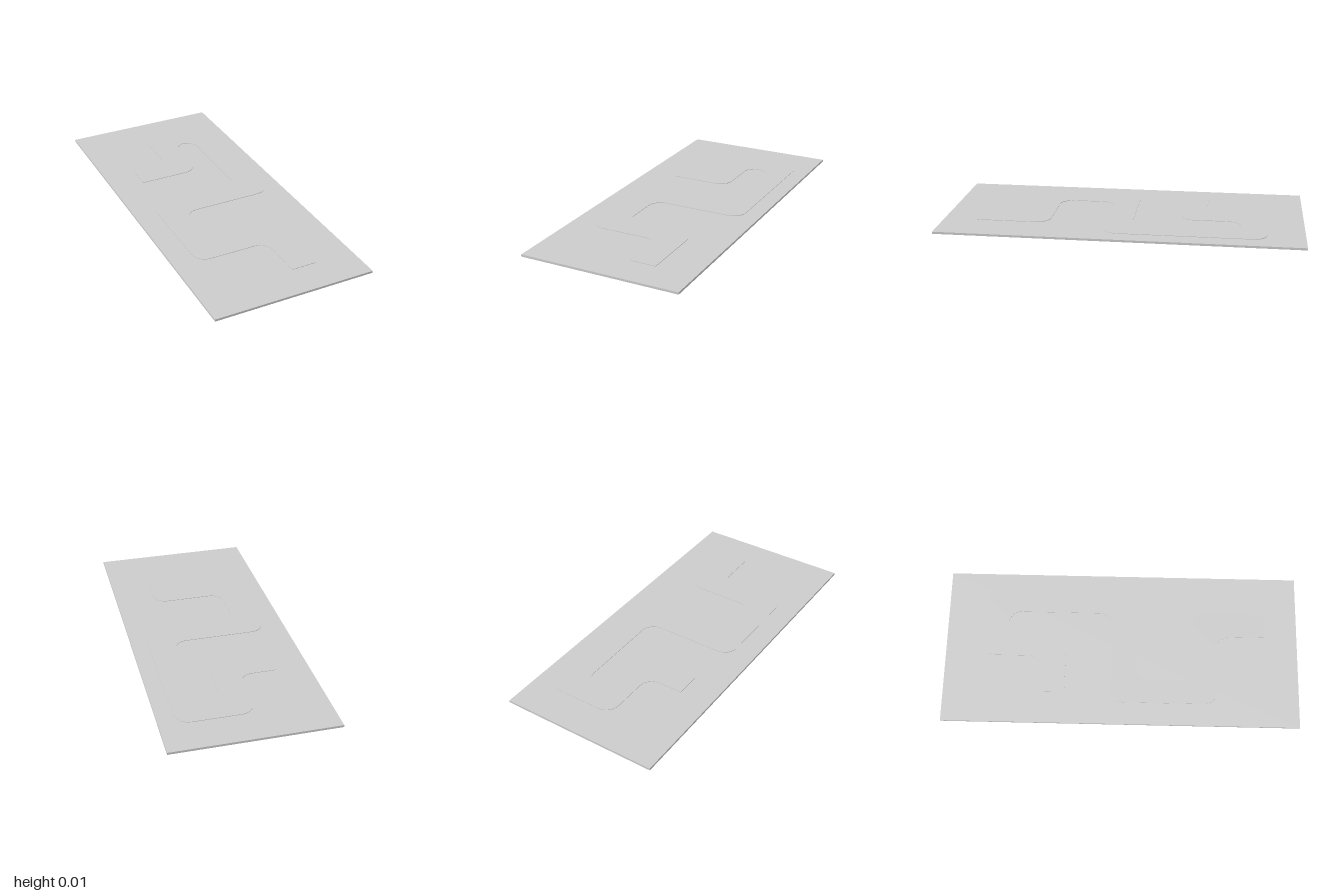
import * as THREE from 'three';

const WIDTH = 0.894, LENGTH = 2, SLAB = 0.012, TOP = 0.0145;
const HALF = 0.07;    // half the width of the raised path
const RADIUS = 0.075; // fillet of every bend

// Centre line of the winding path, as [x, z]
const ROUTE = [
  [0.153, 0.813], [0.153, 0.474], [-0.251, 0.474], [-0.251, 0.015], [0.283, 0.015],
  [0.283, -0.725], [0.015, -0.725], [0.015, -0.387], [-0.266, -0.387],
].map(([x, z]) => new THREE.Vector2(x, -z));

// Route shifted sideways; square bends take the normals of both legs
function offsetSide(points, distance) {
  const normals = points.slice(1).map((p, i) => {
    const d = p.clone().sub(points[i]).normalize();
    return new THREE.Vector2(-d.y, d.x);
  });
  return points.map((p, i) => {
    const n = new THREE.Vector2();
    if (i > 0) n.add(normals[i - 1]);
    if (i < normals.length) n.add(normals[i]);
    return p.clone().addScaledVector(n, distance);
  });
}

// Adds one side to the outline, rounding the bends between its two ends
function traceSide(shape, side) {
  const k = 0.4477;
  side.forEach((p, i) => {
    if (i === 0 || i === side.length - 1) {
      if (shape.curves.length === 0 && i === 0 && !shape.userData.started) {
        shape.moveTo(p.x, p.y);
        shape.userData.started = true;
      } else shape.lineTo(p.x, p.y);
      return;
    }
    const back = side[i - 1].clone().sub(p).normalize();
    const ahead = side[i + 1].clone().sub(p).normalize();
    const at = (dir, s) => p.clone().addScaledVector(dir, RADIUS * s);
    const a = at(back, 1), b = at(back, k), c = at(ahead, k), d = at(ahead, 1);
    shape.lineTo(a.x, a.y);
    shape.bezierCurveTo(b.x, b.y, c.x, c.y, d.x, d.y);
  });
}

export function createModel() {
  const model = new THREE.Group();
  model.name = 'boardWithPath';
  const material = new THREE.MeshStandardMaterial({ color: 0xcccccc });

  // Flat board
  const board = new THREE.Mesh(new THREE.BoxGeometry(WIDTH, SLAB, LENGTH), material);
  board.name = 'board';
  board.position.y = SLAB / 2;
  model.add(board);

  // Thin winding path, set slightly into the board
  const outline = new THREE.Shape();
  outline.userData = { started: false };
  traceSide(outline, offsetSide(ROUTE, HALF));
  traceSide(outline, offsetSide(ROUTE, -HALF).reverse());
  outline.closePath();
  const sunk = 0.002;
  const geometry = new THREE.ExtrudeGeometry(outline, {
    depth: TOP - SLAB + sunk, bevelEnabled: false, curveSegments: 8,
  });
  geometry.rotateX(-Math.PI / 2);
  const path = new THREE.Mesh(geometry, material);
  path.name = 'raisedPath';
  path.position.y = SLAB - sunk;
  model.add(path);

  return model;
}
